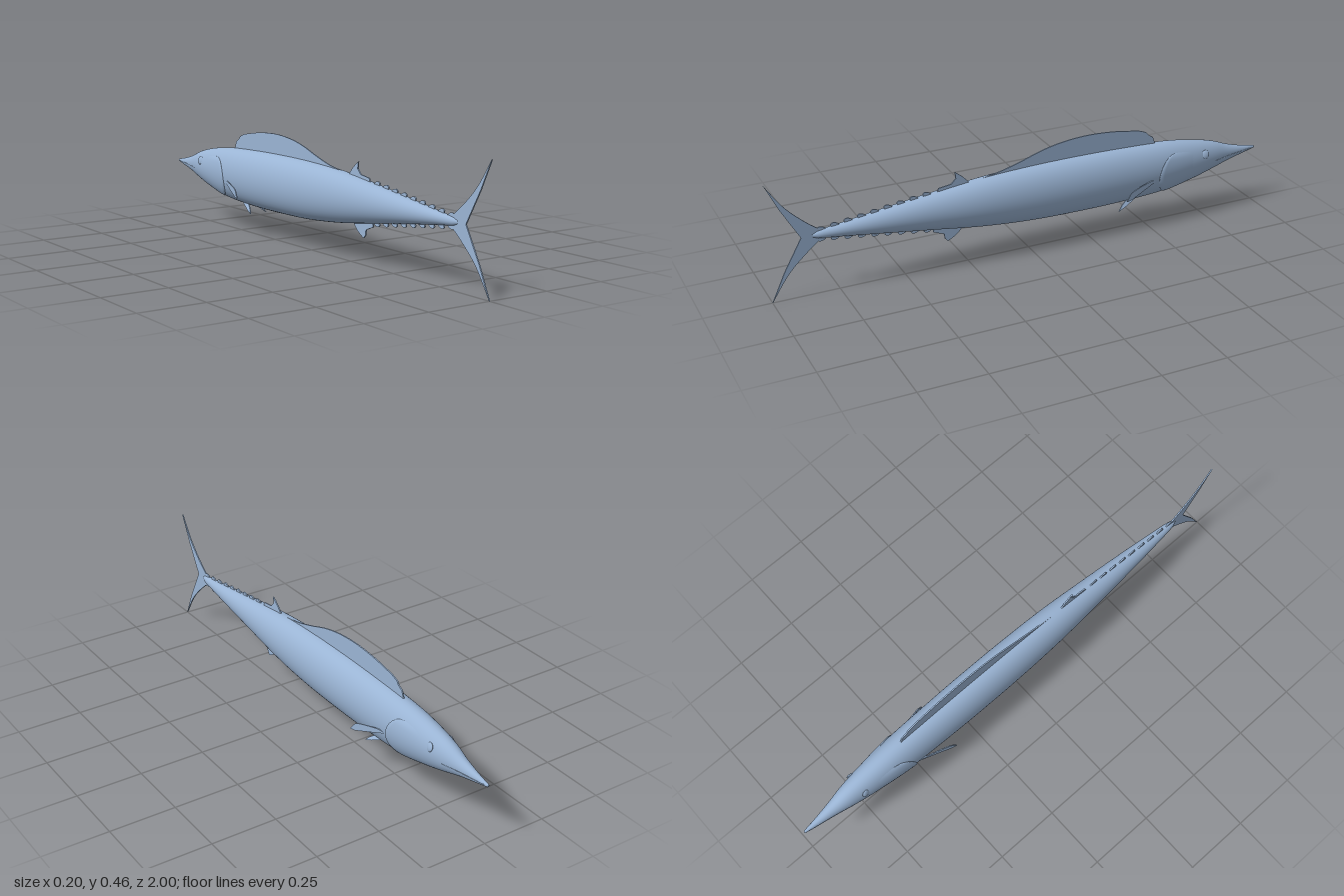
import * as THREE from 'three';
import { mergeVertices } from 'three/addons/utils/BufferGeometryUtils.js';

const skin = new THREE.MeshStandardMaterial({ color: 0x9ab4d4 });
skin.name = 'steel blue skin';

// Body stations from snout to tail: z, top, bottom, half width
const stations = [
  [-1, 0.236, 0.226, 0.004], [-0.94, 0.247, 0.213, 0.014], [-0.87, 0.266, 0.197, 0.026],
  [-0.8, 0.292, 0.176, 0.04], [-0.7, 0.314, 0.149, 0.054], [-0.58, 0.329, 0.127, 0.064],
  [-0.4, 0.337, 0.116, 0.07], [-0.2, 0.34, 0.114, 0.073], [0, 0.337, 0.119, 0.072],
  [0.2, 0.326, 0.136, 0.066], [0.4, 0.303, 0.164, 0.052], [0.6, 0.277, 0.192, 0.036],
  [0.75, 0.257, 0.212, 0.021], [0.82, 0.248, 0.22, 0.012], [0.84, 0.24, 0.228, 0.004],
];

// Smooth interpolation of one station column at z
function sample(z, c) {
  let i = 0;
  while (i < stations.length - 2 && stations[i + 1][0] < z) i++;
  const at = (k) => stations[THREE.MathUtils.clamp(k, 0, stations.length - 1)];
  const slope = (k) => (at(k + 1)[c] - at(k - 1)[c]) / (at(k + 1)[0] - at(k - 1)[0]);
  const a = at(i), b = at(i + 1), h = b[0] - a[0], t = (z - a[0]) / h;
  const t2 = t * t, t3 = t2 * t;
  return (2 * t3 - 3 * t2 + 1) * a[c] + (t3 - 2 * t2 + t) * h * slope(i)
    + (3 * t2 - 2 * t3) * b[c] + (t3 - t2) * h * slope(i + 1);
}

// Point on the body at z and angle, raised by lift
function skinPoint(z, angle, lift = 0) {
  const top = sample(z, 1), bottom = sample(z, 2), w = sample(z, 3);
  return [Math.cos(angle) * (w + lift), (top + bottom) / 2 + Math.sin(angle) * ((top - bottom) / 2 + lift), z];
}

// Surface grid from fn(u, v)
function grid(fn, nu, nv) {
  const pos = [], index = [];
  for (let j = 0; j <= nv; j++) for (let i = 0; i <= nu; i++) pos.push(...fn(i / nu, j / nv));
  for (let j = 0; j < nv; j++) for (let i = 0; i < nu; i++) {
    const a = j * (nu + 1) + i, d = a + nu + 1;
    index.push(a, a + 1, d + 1, a, d + 1, d);
  }
  let g = new THREE.BufferGeometry();
  g.setAttribute('position', new THREE.Float32BufferAttribute(pos, 3));
  g.setIndex(index);
  g = mergeVertices(g, 1e-5);
  g.computeVertexNormals();
  return g;
}

// Thin blade from a (z, y) outline; points inside [start, end) are splined
function blade(outline, smooth, thickness = 0.005) {
  const pts = outline.map(([z, y]) => new THREE.Vector2(z, y));
  const shape = new THREE.Shape().moveTo(pts[0].x, pts[0].y);
  if (smooth > 1) shape.splineThru(pts.slice(1, smooth));
  pts.slice(Math.max(smooth, 1)).forEach((p) => shape.lineTo(p.x, p.y));
  const g = new THREE.ExtrudeGeometry(shape, { depth: thickness, bevelEnabled: false, curveSegments: 8 });
  return g.translate(0, 0, -thickness / 2).rotateY(-Math.PI / 2);
}

export function createModel() {
  const model = new THREE.Group();
  model.name = 'fish';
  const add = (name, geometry, parent = model) => {
    const mesh = new THREE.Mesh(geometry, skin);
    mesh.name = name;
    parent.add(mesh);
    return mesh;
  };

  add('body', grid((u, v) => skinPoint(-1 + 1.84 * v, u * Math.PI * 2), 48, 92));
  // Rounded snout tip
  const snout = add('snoutTip', new THREE.SphereGeometry(0.0055, 16, 10));
  snout.position.set(0, 0.231, -0.9945);

  // Fins on the centre line
  add('dorsalFin', blade([[0.21, 0.324], [0.12, 0.338], [0.03, 0.363], [-0.06, 0.392], [-0.15, 0.41],
    [-0.25, 0.417], [-0.36, 0.411], [-0.47, 0.394], [-0.5, 0.383], [-0.51, 0.37], [-0.53, 0.358],
    [-0.54, 0.33], [-0.4, 0.3], [0, 0.3]], 8));
  add('secondDorsalFin', blade([[0.24, 0.32], [0.262, 0.345], [0.295, 0.372], [0.292, 0.345],
    [0.31, 0.327], [0.36, 0.32], [0.37, 0.29], [0.24, 0.29]], 3));
  add('analFin', blade([[0.27, 0.147], [0.292, 0.122], [0.328, 0.1], [0.34, 0.112], [0.343, 0.132],
    [0.385, 0.148], [0.38, 0.18], [0.27, 0.18]], 3));
  add('upperTailLobe', blade([[0.8, 0.245], [0.865, 0.295], [0.935, 0.365], [1, 0.459],
    [0.95, 0.355], [0.88, 0.232], [0.81, 0.23]], 4));
  add('lowerTailLobe', blade([[0.8, 0.222], [0.865, 0.17], [0.935, 0.1], [1, 0.002],
    [0.95, 0.11], [0.88, 0.235], [0.81, 0.237]], 4));

  // Rows of finlets in front of the tail
  for (const side of [1, -1]) {
    const row = new THREE.Group();
    row.name = side > 0 ? 'upperFinlets' : 'lowerFinlets';
    model.add(row);
    for (let i = 0; i < 9; i++) {
      const z = 0.385 + i * 0.05;
      const edge = (dz, h) => [z + dz, sample(z + dz, side > 0 ? 1 : 2) + side * h];
      add('finlet', blade([edge(0, -0.006), edge(0.012, 0.007), edge(0.028, 0.013), edge(0.037, 0.008),
        edge(0.033, -0.006)], 4), row);
    }
  }

  // Paired features
  for (const s of [1, -1]) {
    const name = s > 0 ? 'left' : 'right';
    const bend = (g, rule) => {
      const p = g.attributes.position;
      for (let i = 0; i < p.count; i++) p.setX(i, p.getX(i) + s * rule(p.getY(i), p.getZ(i)));
      g.computeVertexNormals();
      return g;
    };
    add(name + 'PectoralFin', bend(blade([[-0.515, 0.2], [-0.49, 0.207], [-0.4, 0.191], [-0.375, 0.168],
      [-0.368, 0.157], [-0.39, 0.158], [-0.45, 0.178]], 5, 0.004), (y, z) => 0.063 + 0.25 * (z + 0.515)));
    add(name + 'PelvicFin', bend(blade([[-0.46, 0.128], [-0.43, 0.13], [-0.395, 0.113], [-0.37, 0.089],
      [-0.4, 0.1]], 4, 0.004), (y) => 0.02 + 0.5 * (0.123 - y)));

    // Angle on this side, keeping the surface facing outward
    const angle = (u, lo, hi) => s > 0 ? lo + (hi - lo) * u : Math.PI - hi + (hi - lo) * u;

    // Raised gill cover with a stepped rear edge
    add(name + 'GillCover', grid((u, v) => {
      const swell = Math.sin(u * Math.PI);
      const rear = -0.62 + 0.09 * Math.sqrt(Math.max(swell, 0));
      const t = Math.min(v / 0.9, 1);
      const lift = v === 1 ? -0.002 : 0.0045 * t * Math.min(1, swell * 3) - 0.0005;
      return skinPoint(-0.7 + (rear + 0.7) * t, angle(u, -1.25, 0.75), lift);
    }, 24, 10));

    // Eye bump
    const eye = add(name + 'Eye', new THREE.SphereGeometry(0.017, 24, 16));
    const [ex, ey, ez] = skinPoint(-0.745, 0.4, -0.001);
    eye.position.set(s * ex, ey, ez);
    eye.scale.set(0.35, 1, 1);
    eye.rotation.set(0, s * -0.15, s * 0.25);

    // Mouth ridge
    const mouth = [-0.985, -0.93, -0.87, -0.8].map((z, i) => {
      const [x, y] = skinPoint(z, -0.05 - i * 0.05, -0.0005);
      return new THREE.Vector3(s * x, y, z);
    });
    add(name + 'Mouth', new THREE.TubeGeometry(new THREE.CatmullRomCurve3(mouth), 20, 0.0016, 6));
  }
  return model;
}
